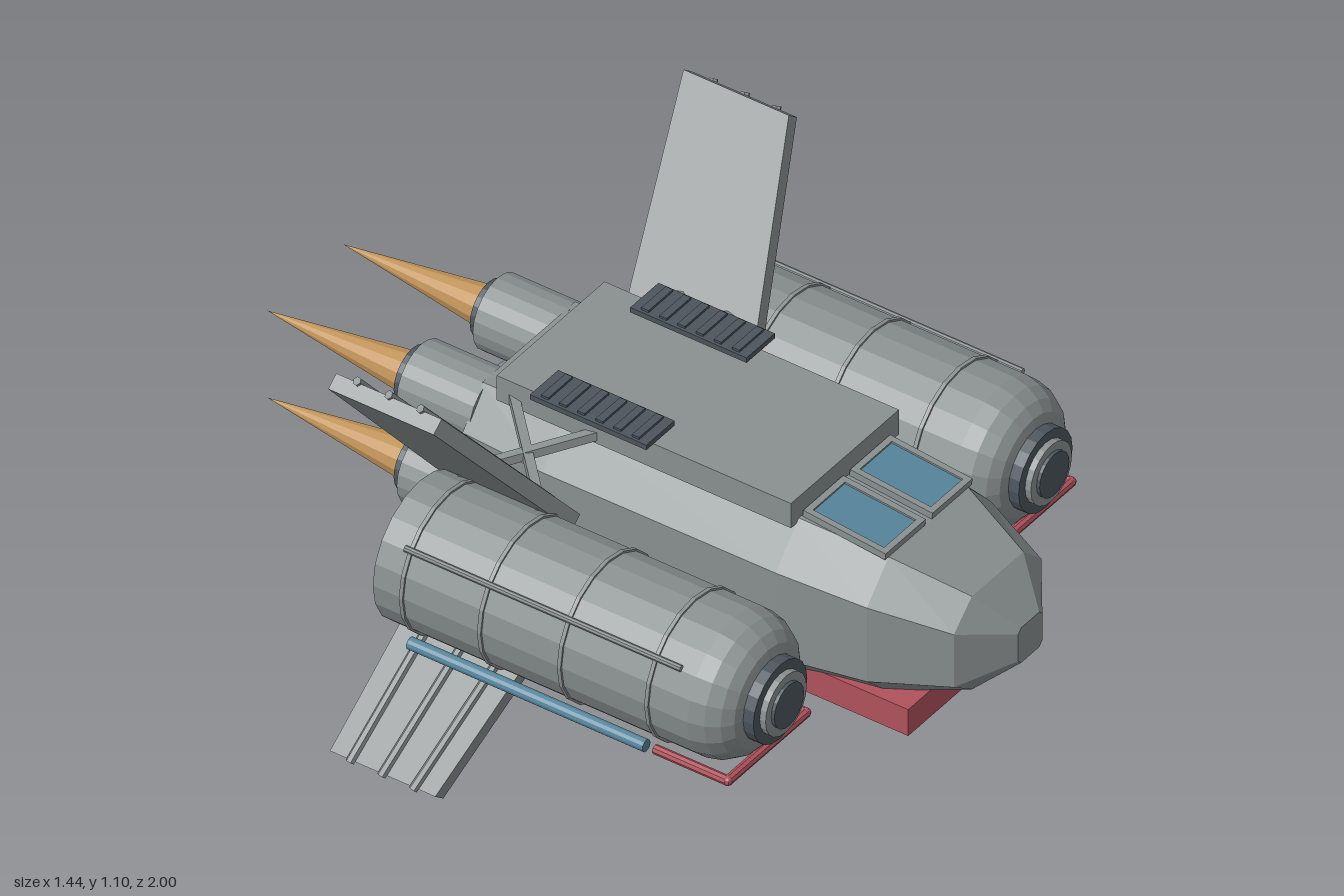
import * as THREE from 'three';

const mat = (name, color) => Object.assign(new THREE.MeshStandardMaterial({ color }), { name });

export function createModel() {
  const root = new THREE.Group();
  root.name = 'spacecraft';
  const hull = mat('hull grey', 0x8a9090);
  const dark = mat('dark metal', 0x4c555d);
  const red = mat('red trim', 0xb0525c);
  const blue = mat('blue glass', 0x56849b);
  const tan = mat('exhaust tan', 0xc0935a);

  // Faceted mesh helper
  const add = (parent, name, geo, material, x = 0, y = 0, z = 0) => {
    const g = geo.index ? geo.toNonIndexed() : geo;
    g.computeVertexNormals();
    const m = new THREE.Mesh(g, material);
    m.name = name;
    m.position.set(x, y, z);
    parent.add(m);
    return m;
  };
  const box = (w, h, d) => new THREE.BoxGeometry(w, h, d);
  const cylZ = (rFront, rBack, len, n = 20) =>
    new THREE.CylinderGeometry(rFront, rBack, len, n).rotateX(Math.PI / 2);
  // Square or round bar between two points
  const bar = (parent, name, a, b, r, material, sides = 8) => {
    const p = new THREE.Vector3(...a), q = new THREE.Vector3(...b);
    const dir = q.clone().sub(p);
    const m = add(parent, name, new THREE.CylinderGeometry(r, r, dir.length(), sides), material);
    m.position.copy(p).add(q).multiplyScalar(0.5);
    m.quaternion.setFromUnitVectors(new THREE.Vector3(0, 1, 0), dir.normalize());
    return m;
  };

  // Fuselage: z, half width, half flat, bottom, low shoulder, high shoulder, top
  const sections = [
    [-0.38, 0.258, 0.18, 0.35, 0.45, 0.68, 0.775],
    [-0.15, 0.273, 0.185, 0.345, 0.44, 0.68, 0.78],
    [0.49, 0.27, 0.18, 0.345, 0.44, 0.68, 0.78],
    [0.72, 0.24, 0.155, 0.375, 0.455, 0.665, 0.757],
    [0.91, 0.17, 0.10, 0.43, 0.48, 0.63, 0.695],
    [1.0, 0.047, 0.035, 0.505, 0.517, 0.593, 0.605],
  ];
  const rings = sections.map(([z, w, f, b, l, h, t]) => [
    [f, b, z], [w, l, z], [w, h, z], [f, t, z],
    [-f, t, z], [-w, h, z], [-w, l, z], [-f, b, z],
  ]);
  const pos = [];
  const tri = (a, b, c) => pos.push(...a, ...b, ...c);
  for (let s = 0; s < rings.length - 1; s++) {
    for (let i = 0; i < 8; i++) {
      const j = (i + 1) % 8, a = rings[s], b = rings[s + 1];
      tri(a[i], a[j], b[j]);
      tri(a[i], b[j], b[i]);
    }
  }
  const back = rings[0], front = rings[rings.length - 1];
  for (let i = 1; i < 7; i++) {
    tri(front[0], front[i], front[i + 1]);
    tri(back[0], back[i + 1], back[i]);
  }
  const body = new THREE.BufferGeometry();
  body.setAttribute('position', new THREE.Float32BufferAttribute(pos, 3));
  add(root, 'fuselage', body, hull);
  add(root, 'roofDeck', box(0.42, 0.07, 0.81), hull, 0, 0.805, 0.085);
  add(root, 'keel', box(0.42, 0.075, 0.845), red, 0, 0.3605, 0.39);

  for (const s of [-1, 1]) {
    // Cockpit window: frame bars around a glass plate
    const win = new THREE.Group();
    win.name = 'cockpitWindow';
    win.position.set(s * 0.091, 0.774, 0.607);
    win.rotation.x = 0.1;
    root.add(win);
    add(win, 'windowPane', box(0.13, 0.008, 0.21), blue, 0, 0.003, 0);
    for (const e of [-1, 1]) {
      add(win, 'windowFrame', box(0.016, 0.018, 0.228), hull, e * 0.07, 0.003, 0);
      add(win, 'windowFrame', box(0.14, 0.018, 0.016), hull, 0, 0.003, e * 0.106);
    }

    // Roof vent with slats
    const vent = new THREE.Group();
    vent.name = 'roofVent';
    vent.position.set(s * 0.195, 0.84, -0.04);
    root.add(vent);
    add(vent, 'ventBase', box(0.08, 0.016, 0.3), dark, 0, 0.006, 0);
    add(vent, 'ventPlate', box(0.11, 0.014, 0.32), dark, 0, 0.018, 0);
    for (let i = 0; i < 6; i++)
      add(vent, 'ventSlat', box(0.095, 0.008, 0.02), dark, 0, 0.027, -0.125 + i * 0.05);

    // Engines with exhaust spikes
    for (const y of [0.433, 0.681]) {
      const x = s * 0.148;
      add(root, 'engineBarrel', cylZ(0.095, 0.095, 0.2), hull, x, y, -0.472);
      add(root, 'engineRing', cylZ(0.072, 0.072, 0.025), dark, x, y, -0.584);
      add(root, 'exhaustSpike', cylZ(0.053, 0, 0.4, 12), tan, x, y, -0.795);
    }

    // Nacelle
    const pod = new THREE.Group();
    pod.name = 'nacelle';
    pod.position.set(s * 0.516, 0.555, 0);
    root.add(pod);
    const profile = [[0, -0.315], [0.183, -0.315], [0.183, 0.55], [0.174, 0.59],
      [0.155, 0.622], [0.13, 0.642], [0.1, 0.65], [0, 0.65]].map(p => new THREE.Vector2(...p));
    add(pod, 'nacelleShell', new THREE.LatheGeometry(profile, 20).rotateX(Math.PI / 2), hull);
    for (const z of [0.44, 0.2, -0.02, -0.235])
      add(pod, 'nacelleBand', cylZ(0.188, 0.188, 0.01), hull, 0, 0, z);
    add(pod, 'intakeRing', cylZ(0.105, 0.105, 0.05), dark, 0, 0, 0.652);
    add(pod, 'intakeLip', cylZ(0.08, 0.08, 0.02), hull, 0, 0, 0.683);
    add(pod, 'intakeCore', cylZ(0.058, 0.058, 0.015), dark, 0, 0, 0.694);
    bar(pod, 'sideRail', [s * 0.148, 0.113, -0.25], [s * 0.148, 0.113, 0.51], 0.008, hull);
    bar(pod, 'bluePipe', [s * 0.186, -0.114, -0.21], [s * 0.186, -0.114, 0.44], 0.016, blue, 12);

    // U-shaped bumper under the nose of the nacelle
    const corners = [[-0.152, -0.145, 0.44], [-0.152, -0.145, 0.64],
      [0.152, -0.145, 0.64], [0.152, -0.145, 0.44]];
    for (let i = 0; i < 3; i++) bar(pod, 'bumperBar', corners[i], corners[i + 1], 0.012, red);
    for (const c of corners.slice(1, 3))
      add(pod, 'bumperCorner', new THREE.SphereGeometry(0.0125, 8, 6), red, ...c);

    // Pylons and crossed braces between fuselage and nacelle
    for (const z of [0.36, -0.12])
      add(root, 'pylon', box(0.12, 0.05, 0.045), hull, s * 0.3, 0.54, z);
    for (const [za, zb] of [[-0.28, -0.05], [-0.05, -0.28]])
      bar(root, 'crossBrace', [s * 0.2, 0.79, za], [s * 0.42, 0.715, zb], 0.016, hull, 4);
  }

  // Four swept fins, each turned about the z axis, ribs on one face
  const fin = new THREE.Shape([[0, 0], [0.545, 0.14], [0.545, 0.43], [0, 0.35]]
    .map(p => new THREE.Vector2(...p)));
  const lean = 0.895;
  for (const [sx, sy, angle] of [[1, 1, lean], [-1, 1, Math.PI - lean],
    [-1, -1, Math.PI + lean], [1, -1, -lean]]) {
    const g = new THREE.Group();
    g.name = 'fin';
    g.position.set(sx * 0.35, 0.555 + sy * 0.105, 0);
    g.rotation.z = angle;
    root.add(g);
    const plate = new THREE.ExtrudeGeometry(fin, { depth: 0.04, bevelEnabled: false });
    add(g, 'finPlate', plate.rotateX(-Math.PI / 2), hull, 0, -0.016, 0);
    for (const f of [0.2, 0.5, 0.8]) {
      bar(g, 'finRib', [0.02, -0.018, -0.35 * f],
        [0.55, -0.018, -0.14 - 0.29 * f], 0.011, hull, 6);
    }
  }
  return root;
}
